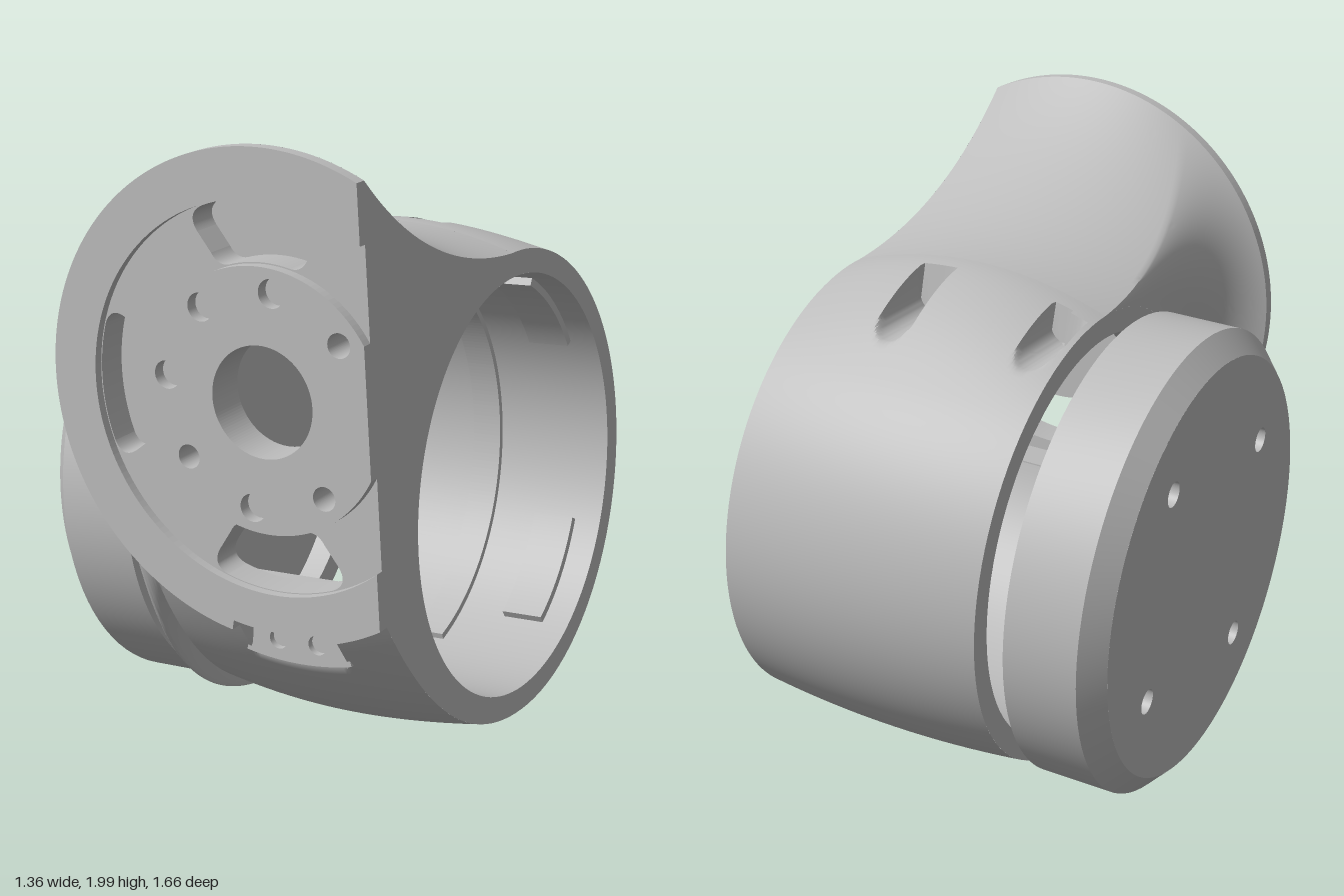
import * as THREE from 'three';
import { toCreasedNormals } from 'three/addons/utils/BufferGeometryUtils.js';

const DEG = Math.PI / 180;
const AXIS_Z = -0.075;          // barrel axis runs along x at y = 0, z = AXIS_Z
const LEFT = -0.24, RIGHT = 0.63; // barrel ends
const BORE = 0.66;
const FX = 0.29, FY = 0.48, FR = 0.72; // flange centre and radius
const FZ = 0.785;               // back of the flange rim
const CUT = RIGHT - FX;         // flat side of the flange

// Barrel radius: slightly bulged, fuller along the top where the neck starts
function barrelRadius(x, phi = 180) {
  const mid = 1 - ((x - 0.195) / 0.435) ** 2;
  const top = Math.max(0, 1 - Math.abs(phi - 90) / 40);
  return 0.735 + mid * (0.025 + 0.055 * top * top * (3 - 2 * top));
}

// Surface from a rule fn(u, v) -> [x, y, z]
function grid(nu, nv, fn, crease = 0.6) {
  const pos = [], idx = [];
  for (let i = 0; i <= nu; i++) for (let j = 0; j <= nv; j++) pos.push(...fn(i / nu, j / nv));
  for (let i = 0; i < nu; i++) for (let j = 0; j < nv; j++) {
    const a = i * (nv + 1) + j, b = a + nv + 1;
    idx.push(a, b, b + 1, a, b + 1, a + 1);
  }
  const g = new THREE.BufferGeometry();
  g.setAttribute('position', new THREE.Float32BufferAttribute(pos, 3));
  g.setIndex(idx);
  return toCreasedNormals(g, crease);
}

// Band of a tube about the barrel axis; angle 0 faces +z, 90 is up
const band = (x0, x1, r0, r1, a0 = 0, a1 = 360) => grid(2, 96, (u, v) => {
  const a = (a0 + (a1 - a0) * v) * DEG, r = r0 + (r1 - r0) * u;
  return [x0 + (x1 - x0) * u, r * Math.sin(a), AXIS_Z + r * Math.cos(a)];
});

// Ring sector outline, angles in degrees; b values are for the inner arc
function sector(rIn, rOut, a0, a1, b0 = a0, b1 = a1) {
  const s = new THREE.Shape();
  s.absarc(0, 0, rOut, a0 * DEG, a1 * DEG, false);
  if (rIn > 0) s.absarc(0, 0, rIn, b1 * DEG, b0 * DEG, true);
  s.closePath();
  return s;
}
const clip = (r) => Math.acos(CUT / r) / DEG;
const clippedRing = (rIn, rOut) => {
  const a = clip(rOut), b = rIn > 0 ? clip(rIn) : a;
  return sector(rIn, rOut, a, 360 - a, b, 360 - b);
};
const circle = (x, y, r) => new THREE.Path().absarc(x, y, r, 0, Math.PI * 2, true);
const polar = (r, a) => [r * Math.cos(a * DEG), r * Math.sin(a * DEG)];

// Flange window: ring sector with rounded corners
function windowPath(a) {
  const w = new THREE.Path();
  w.absarc(0, 0, 0.572, (a - 18) * DEG, (a + 18) * DEG, false);
  w.quadraticCurveTo(...polar(0.57, a + 24), ...polar(0.51, a + 23));
  w.lineTo(...polar(0.44, a + 21));
  w.quadraticCurveTo(...polar(0.395, a + 20), ...polar(0.394, a + 14));
  w.absarc(0, 0, 0.394, (a + 14) * DEG, (a - 14) * DEG, true);
  w.quadraticCurveTo(...polar(0.395, a - 20), ...polar(0.44, a - 21));
  w.lineTo(...polar(0.51, a - 23));
  w.quadraticCurveTo(...polar(0.57, a - 24), ...polar(0.572, a - 18));
  return w;
}

const extrude = (shape, depth) =>
  new THREE.ExtrudeGeometry(shape, { depth, bevelEnabled: false, curveSegments: 64 });
// Slab in the flange plane
const frontSlab = (shape, z0, z1) => extrude(shape, z1 - z0).translate(FX, FY, z0);
// Slab across the barrel axis (shape x is -z)
const sideSlab = (shape, x0, x1) =>
  extrude(shape, x1 - x0).rotateY(Math.PI / 2).translate(x0, 0, AXIS_Z);

// Neck: curves sweeping from the barrel out to the flange rim.
// Each knot is [u, angle on the flange, x on the barrel, angle on the barrel]
const A0 = clip(FR), A1 = 360 - A0;
const KNOTS = [[0, A0, RIGHT, 90], [0.25, 120, LEFT, 90], [0.5, 222, LEFT, 0],
  [0.7, 230, LEFT, -90], [1, A1, RIGHT, -90]];
function neckPoint(u, t) {
  const k = Math.max(1, KNOTS.findIndex((n) => u <= n[0]));
  const f = (u - KNOTS[k - 1][0]) / (KNOTS[k][0] - KNOTS[k - 1][0]);
  const [, th, x, phi] = KNOTS[k].map((v, i) => KNOTS[k - 1][i] + (v - KNOTS[k - 1][i]) * f);
  const r = barrelRadius(x, phi), s = Math.sin(phi * DEG);
  const p0 = [x, r * s, AXIS_Z + r * Math.cos(phi * DEG)];
  const [cx, cy] = polar(FR, th);
  const p2 = [FX + cx, FY + cy, FZ];
  const p1 = [x, p0[1] + 0.035 * Math.max(0, s), p0[2] + 0.6 * (FZ - p0[2])];
  const p = p0.map((v, i) => (1 - t) ** 2 * v + 2 * t * (1 - t) * p1[i] + t * t * p2[i]);
  if (Math.abs(th - 270) < 12.7) p[2] = Math.min(p[2], 0.7); // notch below the flange
  return p;
}

export function createModel() {
  const metal = new THREE.MeshStandardMaterial({ color: 0xbcbcbc, side: THREE.DoubleSide });
  metal.name = 'grey metal';
  const model = new THREE.Group();
  model.name = 'jointHousing';
  const body = new THREE.Group();
  body.name = 'tiltedBody';
  body.position.y = 0.78;
  body.rotation.z = 0.063;
  model.add(body);
  const add = (name, geometry) => {
    const m = new THREE.Mesh(geometry, metal);
    m.name = name;
    body.add(m);
  };

  // Barrel back half, with screw pockets sunk into its top and underside
  add('barrelShell', grid(150, 140, (u, v) => {
    const x = LEFT + (RIGHT - LEFT) * u, phi = 90 + 180 * v, r = barrelRadius(x, phi);
    let y = r * Math.sin(phi * DEG);
    const z = r * Math.cos(phi * DEG);
    for (const sx of [-0.16, 0.297]) {
      const dx = Math.abs(x - sx);
      if (dx < 0.058 && z < -0.085) {
        const floor = 0.71 - Math.sqrt(0.00337 - dx * dx);
        if (Math.abs(y) > floor && Math.abs(y) > 0.5) y = Math.sign(y) * floor;
      }
    }
    return [x, y, AXIS_Z + z];
  }));
  add('neck', grid(200, 40, neckPoint, 0.7));

  // Flat right end with the bore opening
  const outline = [];
  for (let i = 0; i <= 48; i++) {
    const a = (90 + 180 * i / 48) * DEG, r = barrelRadius(RIGHT);
    outline.push(new THREE.Vector2(-r * Math.cos(a), r * Math.sin(a)));
  }
  const edge = (u, t) => { const p = neckPoint(u, t); return new THREE.Vector2(AXIS_Z - p[2], p[1]); };
  for (let i = 1; i <= 24; i++) outline.push(edge(1, i / 24));
  for (let i = 24; i >= 1; i--) outline.push(edge(0, i / 24));
  const endShape = new THREE.Shape(outline);
  endShape.holes.push(circle(0, 0, BORE));
  add('rightEndFace', new THREE.ShapeGeometry(endShape, 64)
    .rotateY(Math.PI / 2).translate(RIGHT, 0, AXIS_Z));

  // Bore, with a pocket opening towards the flange
  add('leftEndFace', band(LEFT, LEFT, barrelRadius(LEFT), BORE));
  add('boreBack', band(LEFT, RIGHT, BORE, BORE, 75, 348));
  add('boreRightBand', band(0.54, RIGHT, BORE, BORE, -12, 75));
  add('boreLeftBand', band(LEFT, -0.08, BORE, BORE, -12, 75));
  for (const a of [75, -12]) {
    const z = AXIS_Z + BORE * Math.cos(a * DEG);
    add('pocketWall', new THREE.BoxGeometry(0.62, 0.01, 0.7 - z)
      .translate(0.23, BORE * Math.sin(a * DEG), (0.7 + z) / 2));
  }
  add('boreRib', sideSlab(sector(0.64, BORE, -75, 75), 0.14, 0.24));
  for (let k = 0; k < 4; k++)
    add('boreLip', sideSlab(sector(0.635, 0.665, 28 + 90 * k, 62 + 90 * k), 0.4, 0.54));

  // Flange outer ring, notched at the bottom
  const rim = new THREE.Shape();
  rim.absarc(0, 0, FR, A0 * DEG, 257.5 * DEG, false);
  rim.absarc(0, 0, 0.69, 257.5 * DEG, 282.5 * DEG, false);
  rim.absarc(0, 0, FR, 282.5 * DEG, A1 * DEG, false);
  const ri = clip(0.575);
  rim.absarc(0, 0, 0.575, (360 - ri) * DEG, ri * DEG, true);
  add('flangeRim', frontSlab(rim, FZ, 0.825));

  // Sunken ring with three windows; the top and left ones are closed behind
  const groove = clippedRing(0.39, 0.575);
  for (const a of [90, 180, 270]) groove.holes.push(windowPath(a));
  add('flangeGroove', frontSlab(groove, 0.7, 0.797));
  for (const a of [90, 180])
    add('windowFloor', frontSlab(sector(0.385, 0.575, a - 25, a + 25), 0.69, 0.7));

  // Hub: front layer with all screw holes, back layer with the three open ones
  const hub = clippedRing(0, 0.39), hubBack = clippedRing(0, 0.39);
  for (const s of [hub, hubBack]) s.holes.push(circle(0, 0, 0.165));
  for (let k = 0; k < 7; k++) {
    const [x, y] = polar(0.32, 35.5 + 45 * k);
    const r = [0, 4, 6].includes(k) ? 0.036 : 0.042;
    hub.holes.push(circle(x, y, r));
    if (r < 0.04) hubBack.holes.push(circle(x, y, r));
  }
  add('flangeHub', frontSlab(hub, 0.79, 0.83));
  add('flangeHubBack', frontSlab(hubBack, 0.7, 0.79));

  // Plate in the notch with two small holes
  const plate = sector(0.685, 0.825, 257.5, 282.5);
  for (const a of [265, 275]) plate.holes.push(circle(...polar(0.76, a), 0.03));
  add('notchPlate', frontSlab(plate, 0.701, 0.722));
  add('notchWall', frontSlab(sector(0.67, 0.69, 257.5, 282.5), 0.7, FZ));

  // Separate end cap: chamfered cup with four drilled bosses
  const profile = [[0.67, -0.64], [0.74, -0.575], [0.74, -0.338], [BORE, -0.338], [BORE, -0.44]]
    .map(([r, x]) => new THREE.Vector2(r, x));
  add('capWall', toCreasedNormals(new THREE.LatheGeometry(profile, 96)
    .rotateZ(-Math.PI / 2).translate(0, 0, AXIS_Z), 0.5));
  const floor = new THREE.Shape().absarc(0, 0, 0.67, 0, Math.PI * 2, false);
  for (let k = 0; k < 4; k++) {
    const [x, y] = polar(0.47, 50.5 + 90 * k);
    floor.holes.push(circle(x, y, 0.04));
    const boss = new THREE.Shape().absarc(x, y, 0.083, 0, Math.PI * 2, false);
    boss.holes.push(circle(x, y, 0.04));
    add('capBoss', sideSlab(boss, -0.43, -0.375));
  }
  add('capFloor', sideSlab(floor, -0.64, -0.42));
  return model;
}
